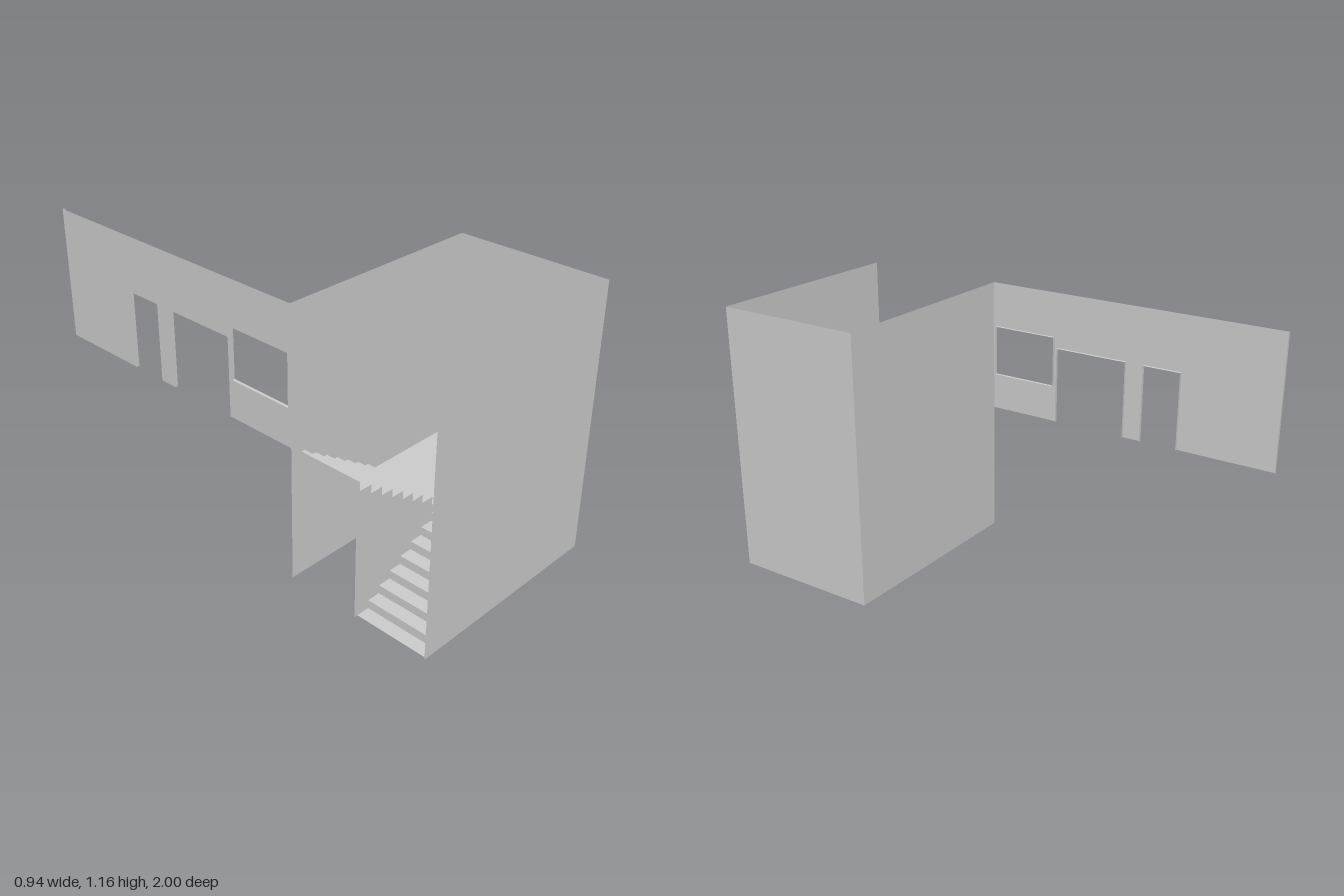
import * as THREE from 'three';

const LEFT = -0.467, RIGHT = 0.472, TOP = 1.158, FLOOR = 0.583;
const BACK = 0.34, MID = 0.67, FRONT = 1.0;
const RISE = FLOOR / 16, RUN = 0.0583, LIP = 0.013;

export function createModel() {
  const model = new THREE.Group();
  const material = new THREE.MeshStandardMaterial({
    color: 0xcccccc, side: THREE.DoubleSide, flatShading: true,
  });
  const add = (name, geometry) => {
    const mesh = new THREE.Mesh(geometry, material);
    mesh.name = name;
    model.add(mesh);
    return mesh;
  };
  const shapeOf = (points) => new THREE.Shape(points.map(([x, y]) => new THREE.Vector2(x, y)));

  // Sweeps an xy line between two depths into a thin folded sheet
  const fold = (points, z0, z1) => {
    const pos = [];
    for (let i = 0; i + 1 < points.length; i++) {
      const [ax, ay] = points[i], [bx, by] = points[i + 1];
      pos.push(ax, ay, z0, ax, ay, z1, bx, by, z1, ax, ay, z0, bx, by, z1, bx, by, z0);
    }
    const g = new THREE.BufferGeometry();
    g.setAttribute('position', new THREE.Float32BufferAttribute(pos, 3));
    g.computeVertexNormals();
    return g;
  };

  // Stairwell walls, open on the right-hand end
  for (const [name, z] of [['frontWall', FRONT], ['backWall', BACK]]) {
    const g = new THREE.PlaneGeometry(RIGHT - LEFT, TOP);
    add(name, g.translate((LEFT + RIGHT) / 2, TOP / 2, z));
  }
  add('sideWall', fold([[RIGHT, 0], [RIGHT, TOP]], BACK, FRONT));

  // Lower flight climbs towards +x, upper flight returns towards -x
  const start = -0.456;
  const lower = [[start, 0]];
  for (let i = 1; i <= 8; i++) {
    const x = start + i * RUN;
    lower.push([x, (i - 1) * RISE], [x, i * RISE]);
  }
  const upper = [];
  for (let i = 1; i <= 8; i++) {
    const x = start + (8 - i) * RUN;
    upper.push([x, (7 + i) * RISE], [x, (8 + i) * RISE]);
  }
  const half = 8 * RISE;
  add('lowerFlight', fold(lower, MID, FRONT));
  add('upperFlight', fold(upper, BACK, MID));
  add('landingFront', fold([[start + 8 * RUN, half], [RIGHT, half]], MID, FRONT));
  add('landingBack', fold([[start + 7 * RUN, half], [RIGHT, half]], BACK, MID));

  // Stepped panel between the two flights
  const end = -RIGHT;
  const panel = shapeOf([[end, 0], ...lower.slice(1), ...upper, [end, FLOOR]]);
  add('stairPanel', new THREE.ShapeGeometry(panel).translate(0, 0, MID));

  // Upper-floor wall, drawn in (z, y) with two doorways and a window
  const doors = [[-0.57, -0.403], [-0.32, 0.01]];
  const doorTop = 0.918;
  const outline = [[-1, TOP], [-1, FLOOR]];
  for (const [a, b] of doors) outline.push([a, FLOOR], [a, doorTop], [b, doorTop], [b, FLOOR]);
  outline.push([BACK, FLOOR], [BACK, TOP]);
  const wall = shapeOf(outline);
  const windowLoop = [[0.027, 0.745], [0.325, 0.745], [0.325, 0.964], [0.027, 0.964], [0.027, 0.745]];
  wall.holes.push(new THREE.Path(windowLoop.slice(0, 4).map(([z, y]) => new THREE.Vector2(z, y))));
  const place = (g) => g.rotateY(-Math.PI / 2).translate(LEFT, 0, 0);
  add('doorWall', place(new THREE.ShapeGeometry(wall)));

  // Thin reveals turned inward around the openings and the far wall end
  doors.forEach(([a, b], i) => add('doorReveal' + (i + 1),
    place(fold([[a, FLOOR], [a, doorTop], [b, doorTop], [b, FLOOR]], -LIP, 0))));
  add('windowReveal', place(fold(windowLoop, -LIP, 0)));
  add('wallEnd', place(fold([[-1, FLOOR], [-1, TOP]], -LIP, 0)));

  return model;
}
